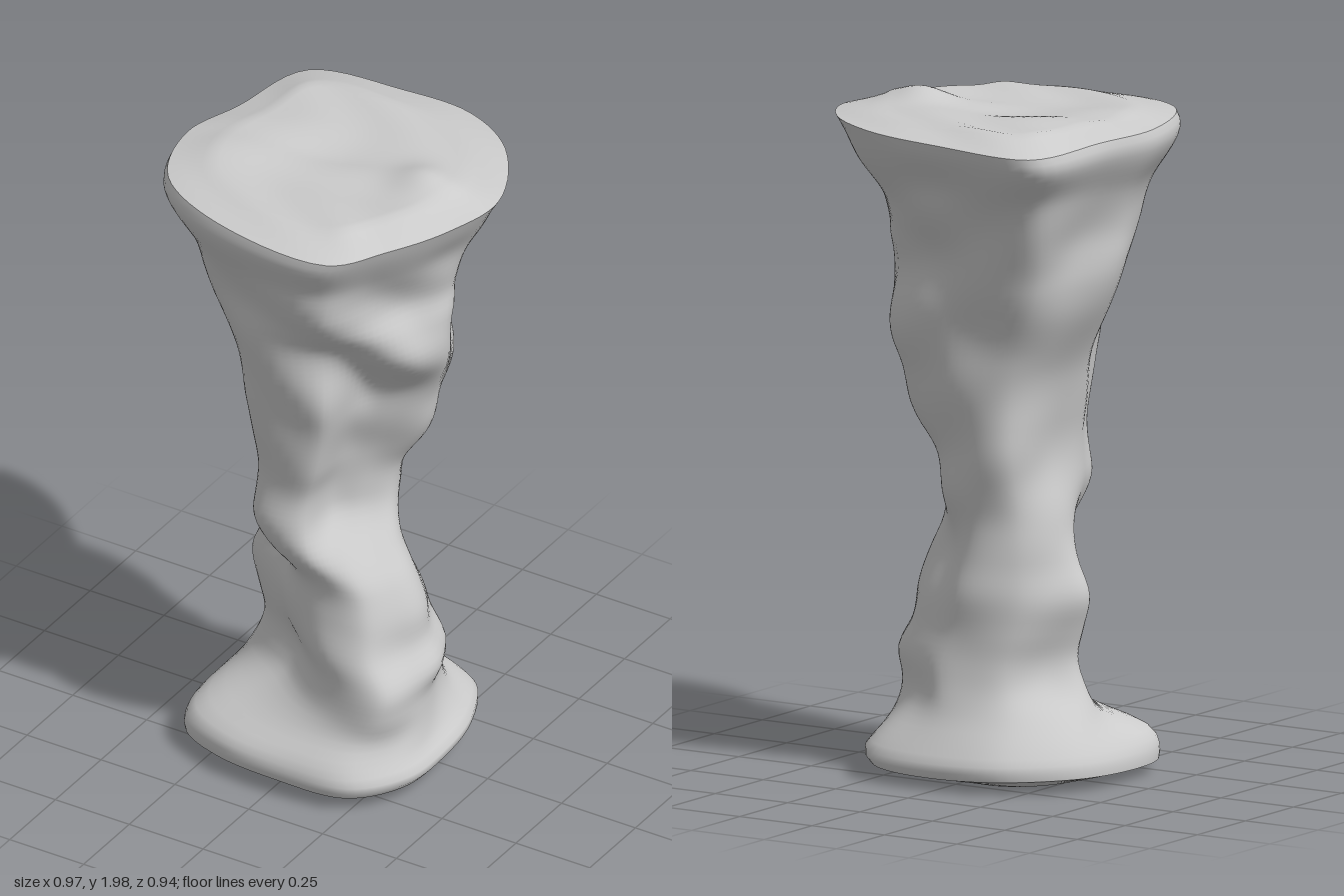
import * as THREE from 'three';

const SEG = 84;
const material = new THREE.MeshStandardMaterial({ color: 0xcccccc, side: THREE.DoubleSide });
const { lerp, smoothstep } = THREE.MathUtils;

// Extents by height: y, xMin, xMax, zMin, zMax
const extents = [
  [0.05, -0.40, 0.37, -0.36, 0.39],
  [0.08, -0.40, 0.39, -0.37, 0.40],
  [0.13, -0.375, 0.36, -0.34, 0.385],
  [0.2, -0.32, 0.34, -0.295, 0.32],
  [0.28, -0.265, 0.34, -0.265, 0.285],
  [0.36, -0.245, 0.355, -0.25, 0.265],
  [0.45, -0.26, 0.305, -0.235, 0.26],
  [0.55, -0.28, 0.285, -0.22, 0.245],
  [0.65, -0.25, 0.25, -0.195, 0.23],
  [0.75, -0.22, 0.2, -0.195, 0.265],
  [0.85, -0.205, 0.165, -0.215, 0.27],
  [0.95, -0.20, 0.17, -0.235, 0.27],
  [1.05, -0.205, 0.22, -0.25, 0.28],
  [1.2, -0.235, 0.29, -0.265, 0.3],
  [1.4, -0.32, 0.355, -0.29, 0.33],
  [1.55, -0.36, 0.355, -0.30, 0.355],
  [1.63, -0.375, 0.34, -0.32, 0.36],
  [1.75, -0.41, 0.39, -0.37, 0.39],
  [1.9, -0.485, 0.465, -0.45, 0.455],
  [1.935, -0.475, 0.485, -0.46, 0.45],
];
const extentCurve = new THREE.CubicInterpolant(
  extents.map((e) => e[0]), extents.flatMap((e) => e.slice(1)), 4, new Float32Array(4));

// Cross-section outlines in a -1..1 box, starting at +x and turning toward +z
const outline = (pts) => new THREE.CatmullRomCurve3(
  pts.map(([x, z]) => new THREE.Vector3(x, 0, z)), true, 'centripetal');
const foot = outline([[1, .1], [.95, .55], [.66, .92], [.1, 1], [-.45, .94], [-.89, .68],
  [-1, .05], [-.9, -.52], [-.5, -.92], [.1, -1], [.66, -.88], [.93, -.4]]);
const shin = outline([[1, 0], [.97, .48], [.78, .94], [.3, 1], [-.2, .74], [-.53, .4],
  [-1, 0], [-.92, -.42], [-.6, -.87], [0, -1], [.37, -.78], [.76, -.48]]);
const waist = outline([[1, -.2], [.74, .16], [.46, .48], [.3, 1], [-.52, 1], [-.75, .62],
  [-1, .1], [-.95, -.42], [-.7, -.85], [-.1, -1], [.5, -.9], [.82, -.65]]);
const shoulder = outline([[1, -.1], [.9, .3], [.6, .6], [.28, .92], [-.35, 1], [-.77, .65],
  [-1, .1], [-.96, -.38], [-.8, -.92], [-.1, -1], [.33, -.88], [.72, -.6]]);
const crown = outline([[1, -.17], [.9, .26], [.7, .65], [.46, .99], [-.31, .98], [-.81, .71],
  [-1, .15], [-.91, -.3], [-.78, -.93], [-.16, -1], [.33, -.96], [.74, -.7]]);
const stations = [[0, foot], [0.11, foot], [0.27, shin], [0.64, shin], [0.88, waist],
  [1.25, waist], [1.48, shoulder], [1.66, crown], [2, crown]];

// Rough stone relief, with a slanting overhang on the +x +z side
function relief(x, y, z) {
  const angle = Math.atan2(z, x);
  const t = (y - 1.28 - 0.25 * angle) / 0.11;
  const ledge = t * Math.exp(0.5 - t * t / 2) * Math.exp(-(((angle - 0.8) / 0.5) ** 2));
  return 0.04 * ledge +
    0.009 * Math.sin(9 * x + 7 * y + 3 * Math.sin(6 * z)) +
    0.006 * Math.sin(15 * z - 11 * y + 2 * Math.sin(8 * x)) +
    0.005 * Math.sin(21 * y + 13 * x - 9 * z);
}

// Point on the stone's side at height y, u = 0..1 around
function sidePoint(y, u) {
  const i = stations.findIndex((s) => s[0] > y);
  const [y0, lower] = stations[i - 1];
  const [y1, upper] = stations[i];
  const p = lower.getPoint(u).lerp(upper.getPoint(u), smoothstep(y, y0, y1));
  const [xMin, xMax, zMin, zMax] = extentCurve.evaluate(y);
  p.set(lerp(xMin, xMax, (p.x + 1) / 2), y, lerp(zMin, zMax, (p.z + 1) / 2));
  // Relief fades out toward both rims
  const fade = smoothstep(y, 0.06, 0.3) * (1 - smoothstep(y, 1.7, 1.92));
  const k = 1 + fade * relief(p.x, y, p.z) / Math.hypot(p.x, p.z);
  p.x *= k;
  p.z *= k;
  return p;
}

// Side wall with uneven rim heights
function body(v, u) {
  const y = lerp(0.05, 1.935, v);
  const p = sidePoint(y, u);
  p.y += (-0.12 * p.x * p.z - 0.008) * smoothstep(y, 1.7, 1.935);
  p.y += 0.008 * Math.sin(6 * p.x + 5 * p.z) * (1 - smoothstep(y, 0.05, 0.2));
  return p;
}

// Lumpy top face with a small peak toward +x and a shallow hollow
function topFace(v, u) {
  const p = body(1, u);
  p.x *= 1 - v;
  p.z *= 1 - v;
  const peak = 0.036 * Math.exp(-((p.x - 0.27) ** 2 + (p.z + 0.03) ** 2) / 0.008);
  const hollow = 0.015 * Math.exp(-((p.x + 0.02) ** 2 + (p.z - 0.05) ** 2) / 0.03);
  const lumps = 0.006 * Math.sin(13 * p.x + 3 * Math.sin(9 * p.z)) * Math.cos(11 * p.z - 6 * p.x);
  p.y = lerp(p.y, 1.958 + peak - hollow + lumps, Math.min(1, v * 4));
  return p;
}

// Lumpy underside
function baseFace(v, u) {
  const p = body(0, u);
  p.x *= v;
  p.z *= v;
  const lumps = 0.009 * Math.sin(10 * p.x + 6 * p.z) * Math.cos(9 * p.z);
  p.y = lerp(p.y, 0.018 + lumps, Math.min(1, (1 - v) * 4));
  return p;
}

// Closed-around surface with shared vertices for smooth shading
function surface(name, rows, fn) {
  const pos = [], index = [];
  for (let i = 0; i <= rows; i++) {
    for (let j = 0; j < SEG; j++) pos.push(...fn(i / rows, j / SEG).toArray());
  }
  for (let i = 0; i < rows; i++) {
    for (let j = 0; j < SEG; j++) {
      const a = i * SEG + j, b = i * SEG + (j + 1) % SEG;
      index.push(a, a + SEG, b, b, a + SEG, b + SEG);
    }
  }
  const g = new THREE.BufferGeometry();
  g.setAttribute('position', new THREE.Float32BufferAttribute(pos, 3));
  g.setIndex(index);
  g.computeVertexNormals();
  const mesh = new THREE.Mesh(g, material);
  mesh.name = name;
  return mesh;
}

export function createModel() {
  const group = new THREE.Group();
  group.name = 'stonePillar';
  group.add(
    surface('pillarBody', 90, body),
    surface('topFace', 20, topFace),
    surface('baseFace', 16, baseFace),
  );
  return group;
}
